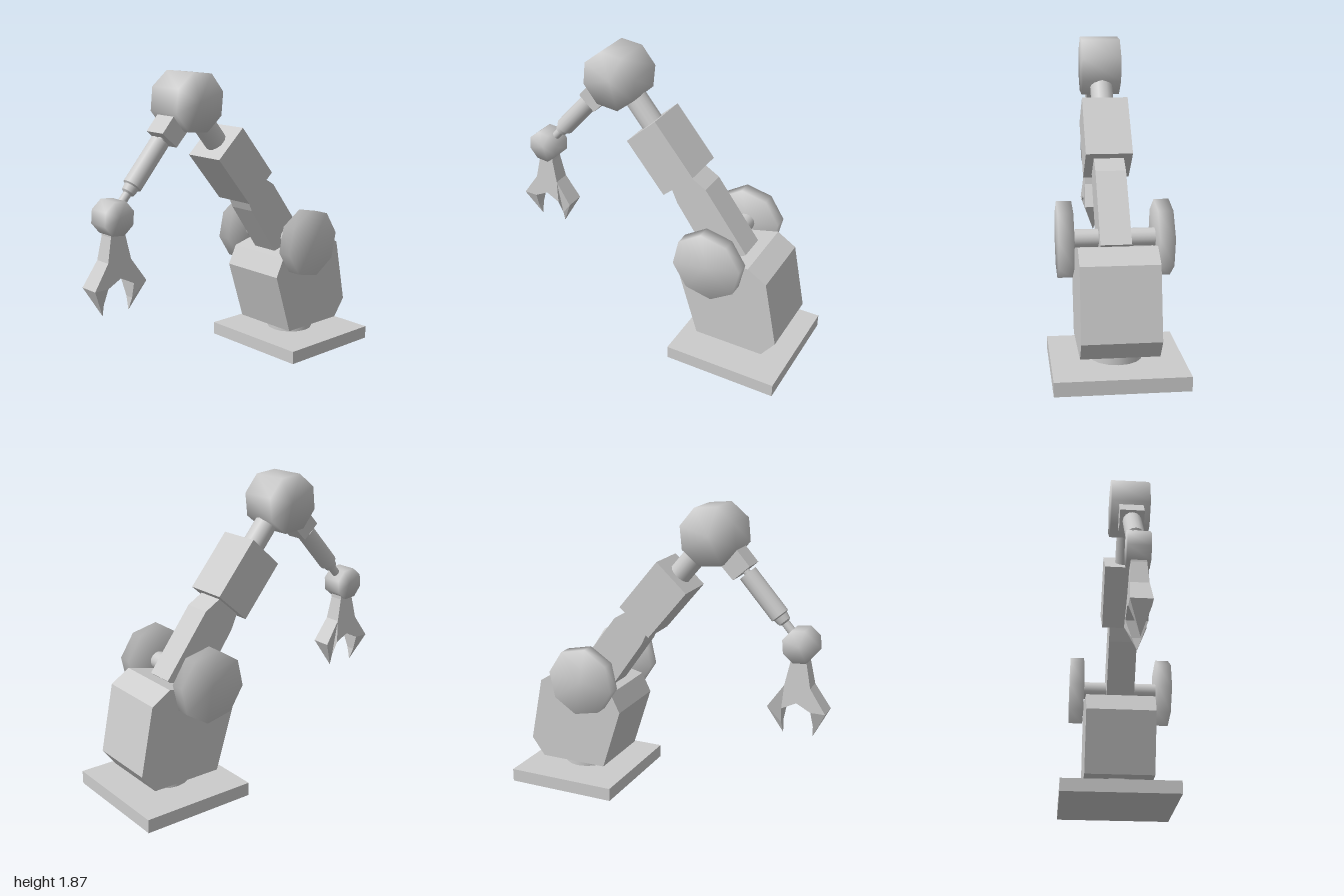
import * as THREE from 'three';
import { mergeVertices } from 'three/addons/utils/BufferGeometryUtils.js';

const material = new THREE.MeshStandardMaterial({ color: 0xcccccc });

function add(group, name, geometry) {
  const mesh = new THREE.Mesh(geometry, material);
  mesh.name = name;
  group.add(mesh);
  return mesh;
}

// Side outline given as [z, y] pairs, extruded symmetrically along x.
function sidePrism(points, width) {
  const shape = new THREE.Shape(points.map(([z, y]) => new THREE.Vector2(z, y)));
  const geometry = new THREE.ExtrudeGeometry(shape, { depth: width, bevelEnabled: false });
  geometry.translate(0, 0, -width / 2);
  geometry.rotateY(-Math.PI / 2);
  return geometry;
}

// Eight-sided drum with its axis along x and fully blended normals.
function softDrum(radius, width, turn) {
  let geometry = new THREE.CylinderGeometry(radius, radius, width, 8);
  geometry.deleteAttribute('normal');
  geometry.deleteAttribute('uv');
  geometry = mergeVertices(geometry, 1e-4);
  geometry.rotateZ(Math.PI / 2);
  geometry.rotateX(turn);
  geometry.computeVertexNormals();
  return geometry;
}

// Points a y-aligned mesh from one [z, y] position towards another.
function aim(mesh, from, to) {
  const a = new THREE.Vector3(0, from[1], from[0]);
  const b = new THREE.Vector3(0, to[1], to[0]);
  mesh.position.copy(a);
  mesh.quaternion.setFromUnitVectors(new THREE.Vector3(0, 1, 0), b.sub(a).normalize());
}

export function createModel() {
  const model = new THREE.Group();
  model.name = 'robotArm';

  // Base plate and turntable
  add(model, 'basePlate', new THREE.BoxGeometry(0.76, 0.083, 0.72)).position.set(0, 0.0415, -0.64);
  add(model, 'turntable', new THREE.CylinderGeometry(0.15, 0.15, 0.09, 16)).position.set(0, 0.115, -0.64);

  // Faceted body
  add(model, 'body', sidePrism([
    [-0.405, 0.15], [-0.28, 0.54], [-0.34, 0.66], [-0.73, 0.755],
    [-0.85, 0.68], [-0.936, 0.265], [-0.85, 0.15],
  ], 0.45));

  // Shoulder axle with a disc at each end
  const axle = add(model, 'shoulderAxle', new THREE.CylinderGeometry(0.056, 0.056, 0.5, 16));
  axle.rotation.z = Math.PI / 2;
  axle.position.set(0, 0.75, -0.505);
  for (const side of [1, -1]) {
    add(model, side > 0 ? 'leftShoulderDisc' : 'rightShoulderDisc', softDrum(0.221, 0.088, 0.18))
      .position.set(side * 0.284, 0.748, -0.502);
  }

  // Upper arm: lower link, thick housing, rod into the elbow
  add(model, 'lowerLink', sidePrism([
    [-0.655, 0.747], [-0.455, 0.585], [-0.185, 0.97], [-0.13, 1.09],
    [-0.22, 1.21], [-0.373, 1.12],
  ], 0.18));
  add(model, 'armHousing', sidePrism([
    [-0.056, 1.517], [-0.31, 1.21], [-0.115, 1.035], [0.137, 1.34],
  ], 0.28));
  const rod = add(model, 'elbowRod', new THREE.CylinderGeometry(0.07, 0.07, 0.34, 16).translate(0, 0.17, 0));
  aim(rod, [0.01, 1.39], [0.2, 1.62]);

  // Elbow drum and forearm socket
  add(model, 'elbow', softDrum(0.187, 0.24, 0.29)).position.set(0, 1.69, 0.266);
  add(model, 'forearmSocket', sidePrism([
    [0.512, 1.528], [0.43, 1.62], [0.33, 1.52], [0.41, 1.437],
  ], 0.15));

  // Forearm: turned piston; doubled corner points keep the steps crisp
  const profile = [
    [0.022, 0], [0.022, 0.053], [0.022, 0.053], [0.058, 0.053], [0.058, 0.053],
    [0.058, 0.365], [0.058, 0.365], [0.046, 0.372], [0.046, 0.372],
    [0.04, 0.41], [0.04, 0.41], [0.026, 0.42], [0.026, 0.42], [0.026, 0.54],
  ].map(([r, t]) => new THREE.Vector2(r, t));
  const forearm = new THREE.Group();
  forearm.name = 'forearm';
  for (let i = 0; i < profile.length - 1; i++) {
    if (profile[i].equals(profile[i + 1])) continue;
    add(forearm, 'forearmSection', new THREE.LatheGeometry([profile[i], profile[i + 1]], 16));
  }
  aim(forearm, [0.44, 1.51], [0.8, 1.102]);
  model.add(forearm);

  // Wrist drum
  add(model, 'wrist', softDrum(0.106, 0.134, 0.3)).position.set(0, 1.075, 0.823);

  // Two-fingered claw, widening downwards and then tapering to points
  const half = [[0.05, 1.0], [0.05, 0.97], [0.08, 0.826], [0.18, 0.68], [0.092, 0.504], [0.1, 0.58], [0.09, 0.68]];
  const centre = 0.82;
  const outline = [
    ...half.map(([z, y]) => [centre + z, y]),
    [centre, 0.725],
    ...half.slice().reverse().map(([z, y]) => [centre - z, y]),
  ];
  const claw = sidePrism(outline, 2);
  const p = claw.attributes.position;
  for (let i = 0; i < p.count; i++) {
    const y = p.getY(i);
    const w = y > 0.68 ? 0.063 - (y - 0.68) * 0.062 : 0.063 * (y - 0.502) / 0.178;
    p.setX(i, p.getX(i) * w);
  }
  claw.computeVertexNormals();
  add(model, 'claw', claw);

  return model;
}
